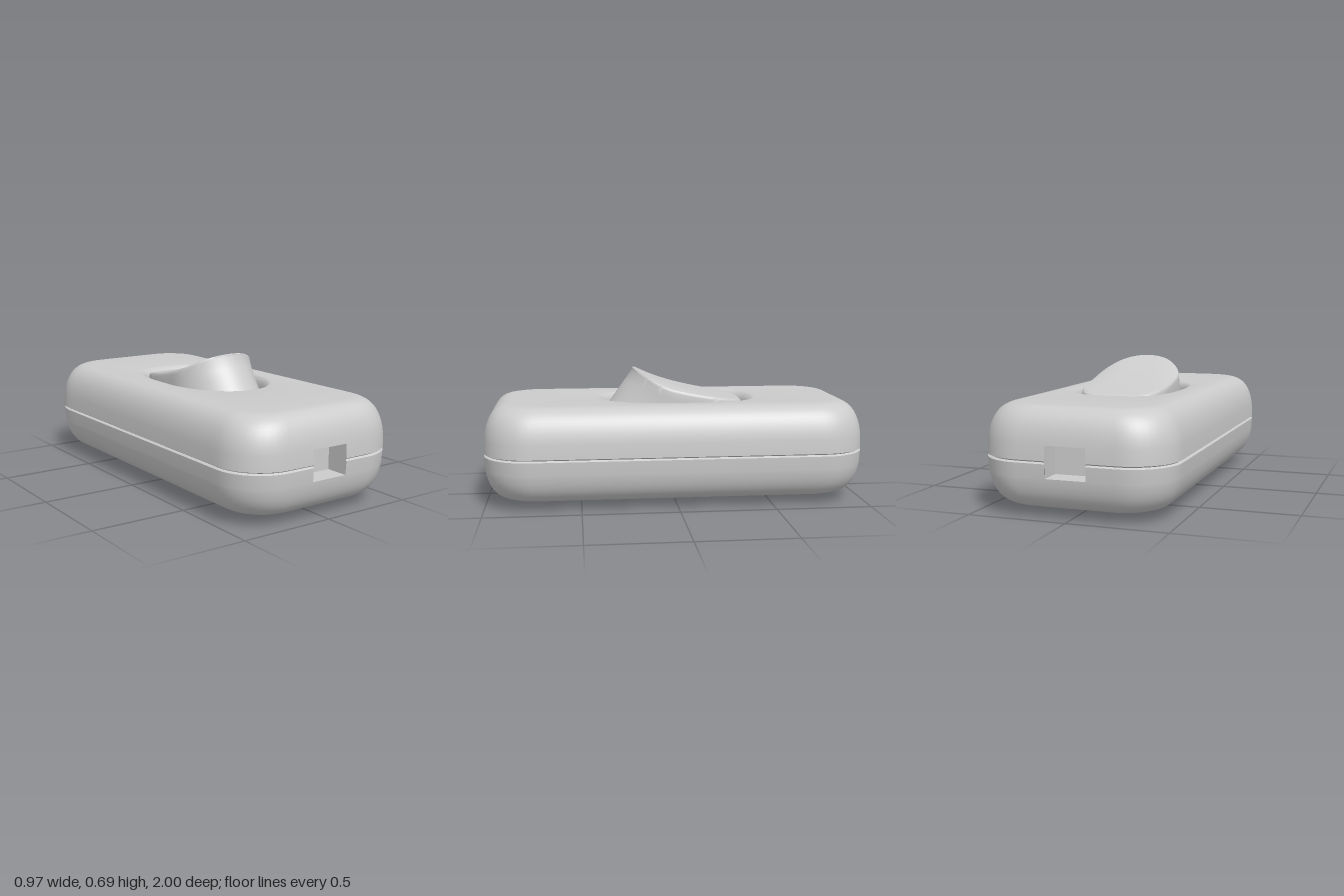
import * as THREE from 'three';
import { toCreasedNormals } from 'three/addons/utils/BufferGeometryUtils.js';

const grey = new THREE.MeshStandardMaterial({ color: 0xcccccc });
const greyDouble = new THREE.MeshStandardMaterial({ color: 0xcccccc, side: THREE.DoubleSide });

// Skin a list of closed rings; skip(a, b, c, d) leaves an opening
function loft(rings, crease, skip = () => false) {
  const pos = [];
  const tri = (a, b, c) => {
    if (a.distanceTo(b) < 1e-6 || b.distanceTo(c) < 1e-6 || a.distanceTo(c) < 1e-6) return;
    pos.push(...a.toArray(), ...b.toArray(), ...c.toArray());
  };
  for (let i = 0; i < rings.length - 1; i++) {
    const n = rings[i].length;
    for (let j = 0; j < n; j++) {
      const k = (j + 1) % n;
      const a = rings[i][j], b = rings[i][k], c = rings[i + 1][j], d = rings[i + 1][k];
      if (skip(a, b, c, d)) continue;
      tri(a, c, b);
      tri(b, c, d);
    }
  }
  const geo = new THREE.BufferGeometry();
  geo.setAttribute('position', new THREE.Float32BufferAttribute(pos, 3));
  return toCreasedNormals(geo, crease);
}

// Egg-like outline point at a polar angle, with its own length and squareness front and back
function ovalPoint(angle, y, { a, front, back, nf, nb }, scale = 1) {
  const c = Math.cos(angle), s = Math.sin(angle);
  const b = s > 0 ? front : back, n = s > 0 ? nf : nb;
  const r = scale * (Math.abs(c / a) ** n + Math.abs(s / b) ** n) ** (-1 / n);
  return new THREE.Vector3(r * c, y, r * s);
}

const HOLE = { x: 0.102, y0: 0.2, y1: 0.355 };
const BOTTOM = 0.04, TOP = 0.53, MID = 0.285, SEAM = 0.276;

// Rounded rectangle ring of the case, pulled in by an inset factor of 0..1
function caseRing(y, inset) {
  const hx = 0.487 - 0.155 * inset, hz = 1 - 0.14 * inset, r = 0.24 - 0.09 * inset;
  const sx = hx - r, sz = hz - r, pts = [];
  const add = (x, z) => pts.push(new THREE.Vector3(x, y, z));
  for (let q = 0; q < 4; q++) {
    const cx = q === 0 || q === 3 ? sx : -sx, cz = q < 2 ? sz : -sz;
    for (let i = 0; i <= 10; i++) {
      const t = (q + i / 10) * Math.PI / 2;
      add(cx + r * Math.cos(t), cz + r * Math.sin(t));
    }
    const dir = q < 2 ? 1 : -1;
    if (q % 2 === 0) {
      // end wall, split at the edges of the cord opening
      for (const x of [HOLE.x, HOLE.x / 2, 0, -HOLE.x / 2, -HOLE.x]) add(dir * x, dir * hz);
    } else {
      // long side
      for (let i = 1; i < 30; i++) add(-dir * hx, cz * (1 - i / 15));
    }
  }
  return pts;
}

function caseGeometry() {
  // Side profile: superelliptic bulge plus rows for the openings and the seam
  const n = 2.5, heights = [HOLE.y0, HOLE.y1, SEAM - 0.007, SEAM, SEAM + 0.007];
  for (let i = 3; i <= 14; i++) {
    const t = Math.sin((i / 14) * Math.PI / 2) ** (2 / n);
    heights.push(MID + t * (TOP - MID), MID - t * (MID - BOTTOM));
  }
  heights.sort((p, q) => p - q);
  const sides = heights.map((y) => {
    const t = Math.min(1, Math.abs(y - MID) / 0.245);
    return caseRing(y, y === SEAM ? 0.08 : 1 - (1 - t ** n) ** (1 / n));
  });

  // Flat underside, and a rounded well in the top around the rocker
  const edge = sides[sides.length - 1];
  const centre = (y) => edge.map(() => new THREE.Vector3(0, y, 0));
  const outline = { a: 0.275, front: 0.4, back: 0.45, nf: 2.1, nb: 3 };
  const well = [[1.03, TOP], [1, 0.528], [0.97, 0.521], [0.94, 0.508], [0.915, 0.49], [0.9, 0.45]]
    .map(([s, y]) => edge.map((p) => ovalPoint(Math.atan2(p.z, p.x), y, outline, s)));

  const inHole = (...pts) => pts.every((p) => Math.abs(p.x) < HOLE.x + 1e-4 && Math.abs(p.z) > 0.9
    && p.y > HOLE.y0 - 1e-4 && p.y < HOLE.y1 + 1e-4);
  return loft([centre(BOTTOM), ...sides, ...well, centre(0.45)], 0.6, inHole);
}

function rockerGeometry() {
  const topLine = { a: 0.235, front: 0.21, back: 0.385, nf: 2, nb: 3.5 };
  const baseLine = { a: 0.237, front: 0.375, back: 0.385, nf: 2, nb: 3.5 };
  // Concave thumb surface rising to the front crest, rolling off toward the sides
  const height = ({ x, z }) => {
    const u = Math.max(0, (z + 0.385) / 0.595);
    return 0.517 + 0.125 * u + 0.052 * u ** 4 - 0.03 * u * (x / 0.235) ** 4;
  };
  const N = 96;
  const ring = (fn) => Array.from({ length: N }, (_, j) => fn((j / N) * Math.PI * 2));
  const top = (scale, drop) => ring((t) => {
    const p = ovalPoint(t, 0, topLine, scale);
    p.y = height(p) - drop;
    return p;
  });
  const rim = top(1, 0.014);
  const base = ring((t) => ovalPoint(t, 0.45, baseLine));
  const wall = [0, 0.25, 0.5, 0.75].map((f) => base.map((p, j) => p.clone().lerp(rim[j], f)));
  const cap = [[0.993, 0.005], [0.975, 0], [0.9, 0], [0.75, 0], [0.6, 0], [0.45, 0], [0.3, 0], [0.15, 0], [0, 0]]
    .map(([s, d]) => top(s, d));
  return loft([...wall, rim, ...cap], 0.7);
}

// Five-sided pocket, open toward +z
function pocketGeometry(depth) {
  const h = HOLE.y1 - HOLE.y0;
  const geo = new THREE.BoxGeometry(HOLE.x * 2, h, depth);
  geo.setIndex([...geo.index.array].filter((_, i) => i < 24 || i >= 30));
  return geo.translate(0, HOLE.y0 + h / 2, 0.996 - depth / 2);
}

export function createModel() {
  const model = new THREE.Group();
  const add = (name, geo, material = grey) => {
    const mesh = new THREE.Mesh(geo, material);
    mesh.name = name;
    model.add(mesh);
    return mesh;
  };

  add('case', caseGeometry());
  add('rocker', rockerGeometry());

  // Cord openings at both ends
  add('frontCordOpening', pocketGeometry(0.12), greyDouble);
  add('backCordOpening', pocketGeometry(0.12), greyDouble).rotation.y = Math.PI;

  // Oval studs under the case
  for (const [name, z, rz] of [['frontStud', 0.545, 0.056], ['backStud', -0.565, 0.062]]) {
    const geo = toCreasedNormals(new THREE.CylinderGeometry(0.95, 1, 0.06, 32).scale(0.046, 1, rz), 0.6);
    add(name, geo).position.set(-0.004, 0.03, z);
  }
  return model;
}
